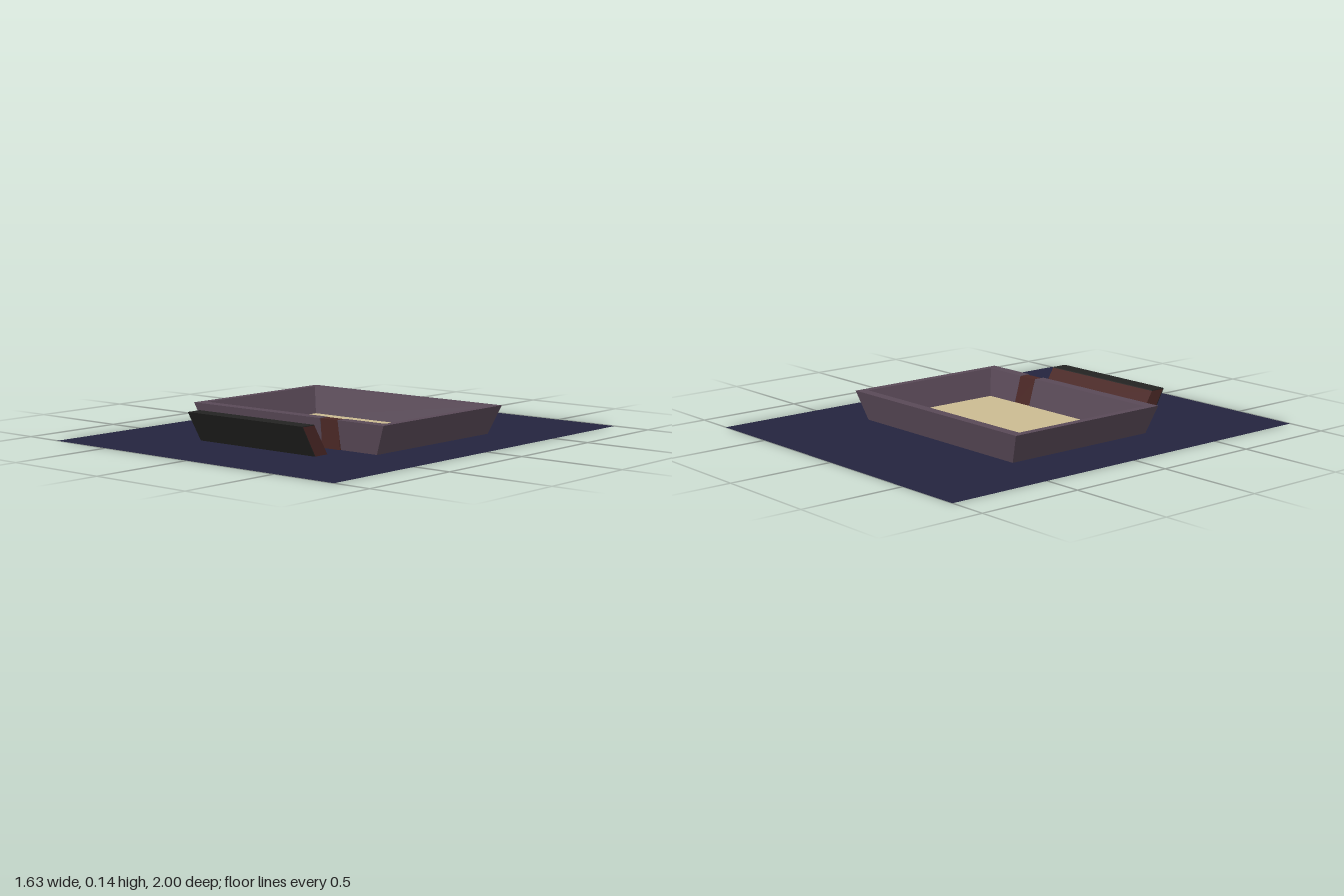
import * as THREE from 'three';
import { ConvexGeometry } from 'three/addons/geometries/ConvexGeometry.js';

function mat(name, color, side = THREE.FrontSide) {
  const m = new THREE.MeshStandardMaterial({ color, side });
  m.name = name;
  return m;
}

export function createModel() {
  const group = new THREE.Group();
  const navy = mat('navy ground', 0x24243e, THREE.DoubleSide);
  const stone = mat('mauve stone', 0x594957);
  const sand = mat('sand', 0xcbbb91);
  const red = mat('dark red wood', 0x4b2826);
  const black = mat('charcoal', 0x232322);

  const add = (name, geometry, material) => {
    const mesh = new THREE.Mesh(geometry, material);
    mesh.name = name;
    group.add(mesh);
    return mesh;
  };
  // Side profile of [z, y] points, extruded across x from x0 to x1
  const prism = (name, points, x0, x1, material) => {
    const shape = new THREE.Shape(points.map(([z, y]) => new THREE.Vector2(z, y)));
    const g = new THREE.ExtrudeGeometry(shape, { depth: x1 - x0, bevelEnabled: false });
    g.rotateY(-Math.PI / 2).translate(x1, 0, 0);
    return add(name, g, material);
  };

  // Flat ground and arena floor
  const ground = new THREE.PlaneGeometry(1.635, 2).rotateX(-Math.PI / 2);
  add('ground', ground, navy);
  const floor = new THREE.BoxGeometry(0.98, 0.006, 0.67);
  add('sandFloor', floor, sand).position.set(0, 0.005, -0.03);

  // Flared walls: each ring is [half width, back z, front z, y]
  const H = 0.133;
  const rings = [
    [0.51, -0.42, 0.37, 0], [0.565, -0.45, 0.393, H],
    [0.53, -0.402, 0.34, H], [0.485, -0.36, 0.3, 0],
  ];
  const corner = ([w, back, front, y], sx, sz) =>
    new THREE.Vector3(sx * w, y, sz < 0 ? back : front);
  const wall = (name, startOf, endOf) =>
    add(name, new ConvexGeometry(rings.flatMap((r) => [startOf(r), endOf(r)])), stone);
  const at = (sx, sz) => (r) => corner(r, sx, sz);
  const cut = (x) => (r) => new THREE.Vector3(x, r[3], r[2]);
  const g0 = 0.205, g1 = 0.308;
  wall('backWall', at(-1, -1), at(1, -1));
  wall('leftWall', at(1, -1), at(1, 1));
  wall('rightWall', at(-1, -1), at(-1, 1));
  wall('frontWallLong', at(-1, 1), cut(g0));
  wall('frontWallShort', cut(g1), at(1, 1));

  // Gate filling the gap in the front wall
  prism('gate', [[0.302, 0], [0.377, 0], [0.386, 0.131], [0.338, 0.131]], g0, g1, red);

  // Leaning board with a dark front and top
  prism('boardBody', [[0.495, 0], [0.572, 0], [0.65, 0.134], [0.578, 0.134]], -0.34, 0.34, red);
  prism('boardFront', [[0.572, 0], [0.576, 0], [0.656, 0.137], [0.65, 0.134]], -0.34, 0.34, black);
  prism('boardTop', [[0.578, 0.134], [0.65, 0.134], [0.656, 0.137], [0.58, 0.137]], -0.34, 0.34, black);

  // Steps behind the board, with sloping risers
  prism('steps', [
    [0.411, 0], [0.51, 0], [0.539, 0.071], [0.491, 0.071],
    [0.466, 0.035], [0.438, 0.035],
  ], -0.125, 0.125, stone);

  return group;
}
